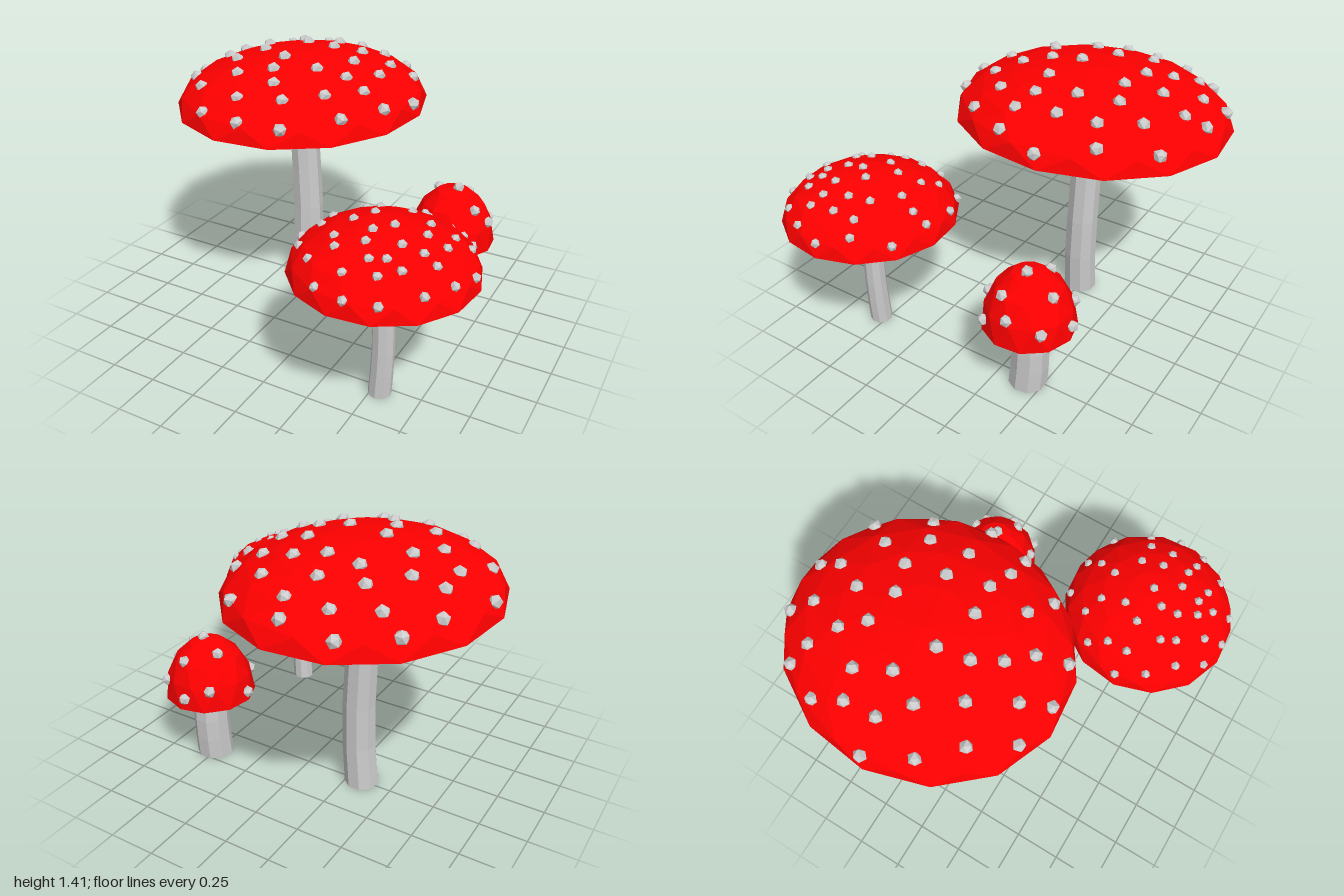
import * as THREE from 'three';

const grey = new THREE.MeshStandardMaterial({ color: 0xcccccc, flatShading: true, side: THREE.DoubleSide });
const red = new THREE.MeshStandardMaterial({ color: 0xff0000, flatShading: true });
const capTurn = 0.09; // small turn of every cap about its stem

function part(name, geometry, material) {
  const mesh = new THREE.Mesh(geometry, material);
  mesh.name = name;
  return mesh;
}

// Faceted half dome; every ring is turned half a step so the facets become triangles
function domeGeometry({ rx, rz, h, sides, rings }) {
  const g = new THREE.SphereGeometry(1, sides, rings, 0, Math.PI * 2, 0, Math.PI / 2);
  const p = g.attributes.position, v = new THREE.Vector3(), up = new THREE.Vector3(0, 1, 0);
  for (let i = 0; i < p.count; i++) {
    const ring = Math.floor(i / (sides + 1));
    v.fromBufferAttribute(p, i).applyAxisAngle(up, capTurn + (rings - ring) * Math.PI / sides);
    p.setXYZ(i, v.x * rx, v.y * h, v.z * rz);
  }
  g.computeVertexNormals();
  return g;
}

// Hollow underside of the cap, from the rim in to the centre
function undersideGeometry({ rx, rz, h, sides, under }) {
  const g = new THREE.LatheGeometry(under.map(([r, y]) => new THREE.Vector2(r, y)), sides);
  g.rotateY(capTurn - Math.PI / 2); // lines the rim corners up with the dome
  g.scale(rx, h, rz);
  return g;
}

// Bent stem: a cylinder whose rings follow a curve
function stemGeometry(path, radius) {
  const curve = new THREE.CatmullRomCurve3(path.map((q) => new THREE.Vector3(...q)));
  const g = new THREE.CylinderGeometry(radius * 0.88, radius, 1, 9, 5);
  const p = g.attributes.position;
  for (let i = 0; i < p.count; i++) {
    const c = curve.getPoint(p.getY(i) + 0.5);
    p.setXYZ(i, p.getX(i) + c.x, c.y, p.getZ(i) + c.z);
  }
  return g;
}

// Pleated ring with pointed tips hanging under the cap
function skirtGeometry({ top, bottom, rTop, rTip }) {
  const n = 12;
  const g = new THREE.CylinderGeometry(rTop, rTip, top - bottom, n, 1, true);
  const p = g.attributes.position;
  for (let i = n + 1; i < p.count; i++) {
    if ((i - n - 1) % 2) { // notches sit higher and closer to the stem
      p.setXYZ(i, p.getX(i) * 0.76, p.getY(i) + (top - bottom) * 0.1, p.getZ(i) * 0.76);
    }
  }
  g.translate(0, (top + bottom) / 2, 0);
  return g;
}

function mushroom(name, o) {
  const group = new THREE.Group();
  group.name = name;

  const cap = new THREE.Group();
  cap.name = 'cap';
  cap.position.set(o.x, o.base, o.z);
  cap.add(part('capTop', domeGeometry(o), red), part('capUnderside', undersideGeometry(o), grey));

  // Spots sit on the flat facets, slightly inside the ideal dome, tilted along its normal
  const spot = new THREE.IcosahedronGeometry(o.spotSize, 0);
  spot.rotateX(0.553); // one corner points outwards
  const up = new THREE.Vector3(0, 1, 0);
  for (let i = 0; i < o.spots.length; i += 2) {
    let dx = (o.spots[i] - o.x) / o.rx, dz = (o.spots[i + 1] - o.z) / o.rz;
    const k = Math.min(1, 0.98 / Math.hypot(dx, dz));
    dx *= k;
    dz *= k;
    const dy = Math.pow(1 - dx * dx - dz * dz, 0.57);
    const mesh = part('spot', spot, grey);
    mesh.position.set(dx * o.rx, dy * o.h, dz * o.rz);
    mesh.quaternion.setFromUnitVectors(up, new THREE.Vector3(dx / o.rx, dy / o.h, dz / o.rz).normalize());
    cap.add(mesh);
  }
  group.add(cap, part('stem', stemGeometry(o.path, o.stemRadius), grey));

  if (o.skirt) {
    const skirt = part('skirt', skirtGeometry(o.skirt), grey);
    const end = o.path[o.path.length - 1];
    skirt.position.set(end[0], 0, end[2]);
    group.add(skirt);
  }
  return group;
}

export function createModel() {
  const model = new THREE.Group();
  model.name = 'mushrooms';

  model.add(mushroom('largeMushroom', {
    x: -0.335, z: -0.26, base: 1.12, rx: 0.668, rz: 0.733, h: 0.26, sides: 14, rings: 5,
    under: [[1, 0], [0.84, 0.06], [0.48, 0.46], [0, 0.53]],
    path: [[-0.328, 0, -0.243], [-0.308, 0.3, -0.245], [-0.313, 0.6, -0.25], [-0.33, 0.9, -0.25], [-0.335, 1.24, -0.255]],
    stemRadius: 0.09,
    skirt: { top: 1.23, bottom: 0.87, rTop: 0.068, rTip: 0.13 },
    spotSize: 0.036,
    spots: [
      -.55, -.90, -.29, -.90, -.47, -.80, -.25, -.80, .03, -.81, -.77, -.74, -.66, -.70, -.05, -.68,
      -.53, -.61, -.32, -.65, -.86, -.55, -.66, -.44, -.80, -.40, -.44, -.50, -.26, -.47, -.11, -.52,
      .07, -.50, .18, -.56, -.96, -.22, -.79, -.23, -.58, -.27, -.06, -.32, .10, -.30, .30, -.30,
      -.39, -.16, -.66, -.11, -.16, -.10, 0, -.12, .12, -.08, .24, -.07, -.85, .01, -.36, 0,
      -.53, .08, -.28, .13, -.01, .09, .12, .16, -.69, .18, -.40, .28, -.17, .23, -.55, .37,
      -.32, .41, -.10, .37],
  }));

  model.add(mushroom('mediumMushroom', {
    x: 0.543, z: 0.53, base: 0.7, rx: 0.454, rz: 0.454, h: 0.235, sides: 14, rings: 5,
    under: [[1, 0], [0.78, 0.04], [0.62, 0.5], [0, 0.57]],
    path: [[0.543, 0, 0.538], [0.555, 0.22, 0.54], [0.555, 0.45, 0.54], [0.545, 0.82, 0.54]],
    stemRadius: 0.06,
    skirt: { top: 0.82, bottom: 0.6, rTop: 0.042, rTip: 0.08 },
    spotSize: 0.025,
    spots: [
      .40, .13, .59, .13, .25, .20, .32, .26, .60, .20, .79, .18, .19, .35, .41, .30, .57, .29, .23, .44,
      .44, .42, .70, .38, .82, .38, .89, .35, .38, .52, .58, .51, .23, .55, .12, .55, .73, .49, .83, .50,
      .97, .50, .51, .59, .67, .63, .77, .62, .84, .64, .93, .65, .36, .67, .52, .68, .19, .69, .40, .74,
      .65, .74, .58, .77, .73, .76, .85, .79, .30, .80, .50, .86, .65, .83, .40, .92, .55, .95, .70, .92],
  }));

  model.add(mushroom('smallMushroom', {
    x: 0.515, z: -0.42, base: 0.39, rx: 0.238, rz: 0.238, h: 0.32, sides: 11, rings: 4,
    under: [[1, 0], [0.93, 0.08], [0.78, 0.42], [0.5, 0.68], [0, 0.76]],
    path: [[0.515, 0, -0.415], [0.515, 0.2, -0.43], [0.515, 0.4, -0.425], [0.515, 0.62, -0.42]],
    stemRadius: 0.1,
    spotSize: 0.032,
    spots: [
      .50, -.65, .67, -.58, .38, -.59, .55, -.57, .41, -.47, .72, -.42, .54, -.42,
      .66, -.36, .39, -.23, .58, -.23, .69, -.27, .28, -.40],
  }));

  return model;
}
